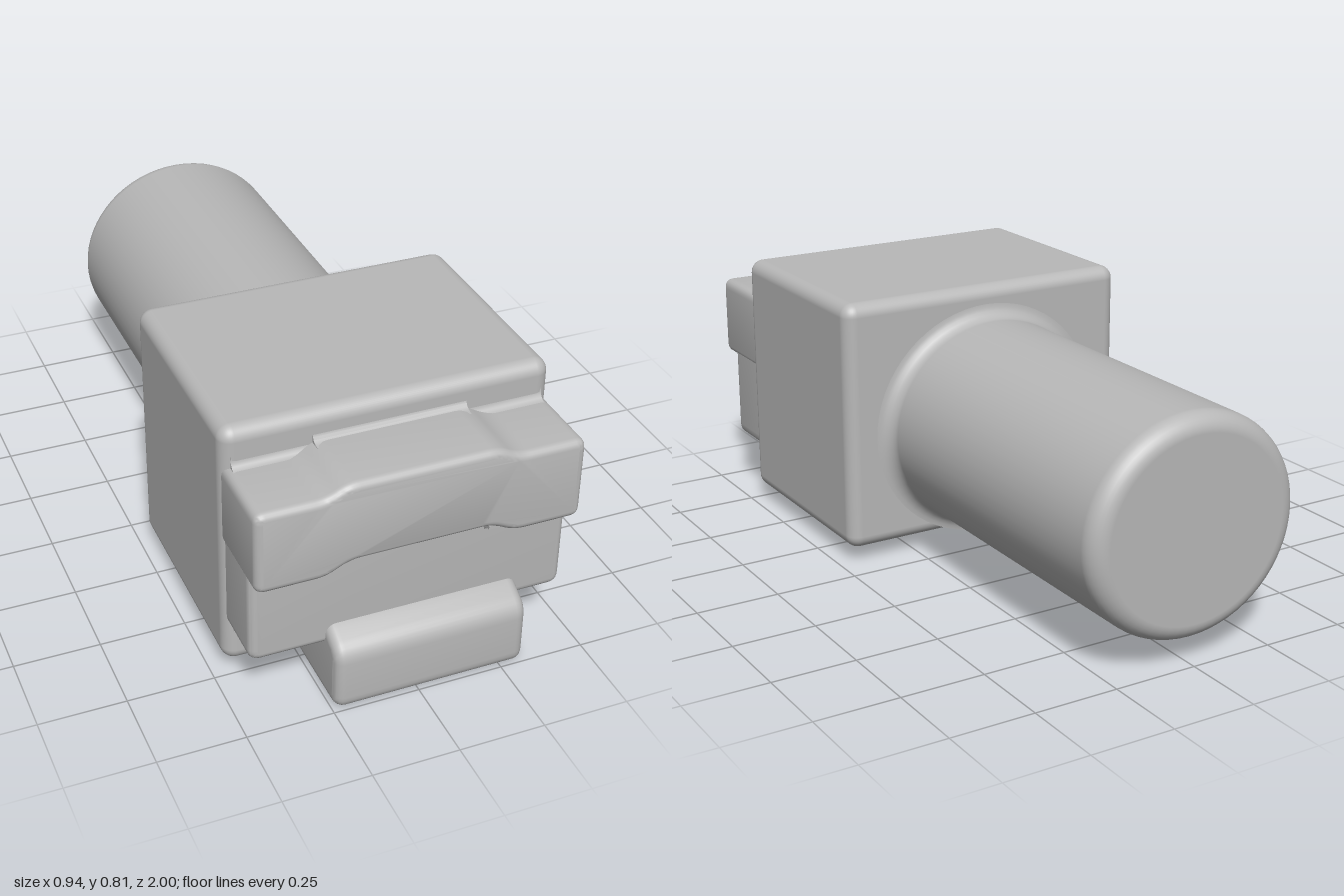
import * as THREE from 'three';
import { toCreasedNormals } from 'three/addons/utils/BufferGeometryUtils.js';
import { RoundedBoxGeometry } from 'three/addons/geometries/RoundedBoxGeometry.js';

// Closed outline with every corner rounded by r
function roundedShape(points, r) {
  const pts = points.map(([x, y]) => new THREE.Vector2(x, y));
  const shape = new THREE.Shape();
  pts.forEach((p, i) => {
    const prev = pts[(i + pts.length - 1) % pts.length];
    const next = pts[(i + 1) % pts.length];
    const a = p.clone().add(prev.clone().sub(p).setLength(r));
    const b = p.clone().add(next.clone().sub(p).setLength(r));
    if (i === 0) shape.moveTo(a.x, a.y);
    else shape.lineTo(a.x, a.y);
    shape.quadraticCurveTo(p.x, p.y, b.x, b.y);
  });
  shape.closePath();
  return shape;
}

// Extrusion from one depth to another, with soft edges inside the outline
function slab(shape, from, to, bevel) {
  const geo = new THREE.ExtrudeGeometry(shape, {
    depth: to - from - 2 * bevel, curveSegments: 6,
    bevelEnabled: bevel > 0, bevelThickness: bevel, bevelSize: bevel,
    bevelOffset: -bevel, bevelSegments: 5,
  });
  geo.translate(0, 0, from + bevel);
  return toCreasedNormals(geo, 0.6);
}

// Side profile given as (z, y), extruded across x
const across = (shape, x0, x1, bevel) => slab(shape, -x1, -x0, bevel).rotateY(-Math.PI / 2);

// Concave fillet in the inner corner at (z, y); dir is up or down
function cove(z, y, dir, r, x0, x1) {
  const s = new THREE.Shape();
  s.moveTo(z - 0.01, y - dir * 0.01);
  s.lineTo(z + r, y - dir * 0.01);
  s.lineTo(z + r, y);
  s.quadraticCurveTo(z, y, z, y + dir * r);
  s.lineTo(z - 0.01, y + dir * r);
  s.closePath();
  return across(s, x0, x1, 0);
}

export function createModel() {
  const model = new THREE.Group();
  const grey = new THREE.MeshStandardMaterial({ color: 0xb8b8b8 });
  grey.name = 'plain grey';
  const add = (name, geo) => {
    const mesh = new THREE.Mesh(geo, grey);
    mesh.name = name;
    model.add(mesh);
    return mesh;
  };

  // Main block
  add('housing', new RoundedBoxGeometry(0.944, 0.76, 0.69, 5, 0.04)).position.set(0, 0.43, 0.415);

  // Round shaft with a softened end and a flare where it meets the block
  const profile = [new THREE.Vector2(0, -1)];
  const R = 0.333, round = 0.055;
  for (let i = 0; i <= 8; i++) {
    const a = (i / 8) * Math.PI / 2;
    profile.push(new THREE.Vector2(R - round + round * Math.sin(a), -1 + round - round * Math.cos(a)));
  }
  for (let i = 0; i <= 6; i++) {
    const a = (i / 6) * Math.PI / 2;
    profile.push(new THREE.Vector2(R + 0.045 * (1 - Math.cos(a)), 0.025 + 0.045 * Math.sin(a)));
  }
  const shaft = new THREE.LatheGeometry(profile, 64).rotateX(Math.PI / 2);
  add('shaft', shaft.scale(1, 0.955, 1)).position.y = 0.393;

  // Wide face plate
  add('facePlate', slab(roundedShape([
    [-0.46, 0.18], [0.46, 0.18], [0.46, 0.66], [-0.46, 0.66],
  ], 0.035), 0.66, 0.92, 0.022));

  // Stepped upper ridge with a raised middle
  add('upperRidge', slab(roundedShape([
    [-0.465, 0.45], [-0.27, 0.45], [-0.2, 0.485], [0.2, 0.485], [0.27, 0.45], [0.465, 0.45],
    [0.465, 0.697], [0.27, 0.697], [0.21, 0.727], [-0.21, 0.727], [-0.27, 0.697], [-0.465, 0.697],
  ], 0.03), 0.66, 0.982, 0.022));

  // Lower jaw block, sloping into the face plate and the block underside
  add('lowerBlock', across(roundedShape([
    [0.64, 0.07], [0.72, 0.005], [1, 0.005], [1, 0.2], [0.9, 0.255], [0.64, 0.255],
  ], 0.04), -0.245, 0.32, 0.03));

  // Soft fillets in the inner corners
  add('topFilletMiddle', cove(0.758, 0.722, 1, 0.035, -0.22, 0.22));
  add('plateFilletMiddle', cove(0.918, 0.485, -1, 0.03, -0.21, 0.21));
  for (const [side, x0, x1] of [['right', -0.445, -0.21], ['left', 0.21, 0.445]]) {
    add(side + 'TopFillet', cove(0.758, 0.695, 1, 0.035, x0, x1));
    add(side + 'PlateFillet', cove(0.918, 0.452, -1, 0.03, x0, x1));
    add(side + 'BottomFillet', cove(0.758, 0.182, -1, 0.025, x0, x1));
  }

  return model;
}
